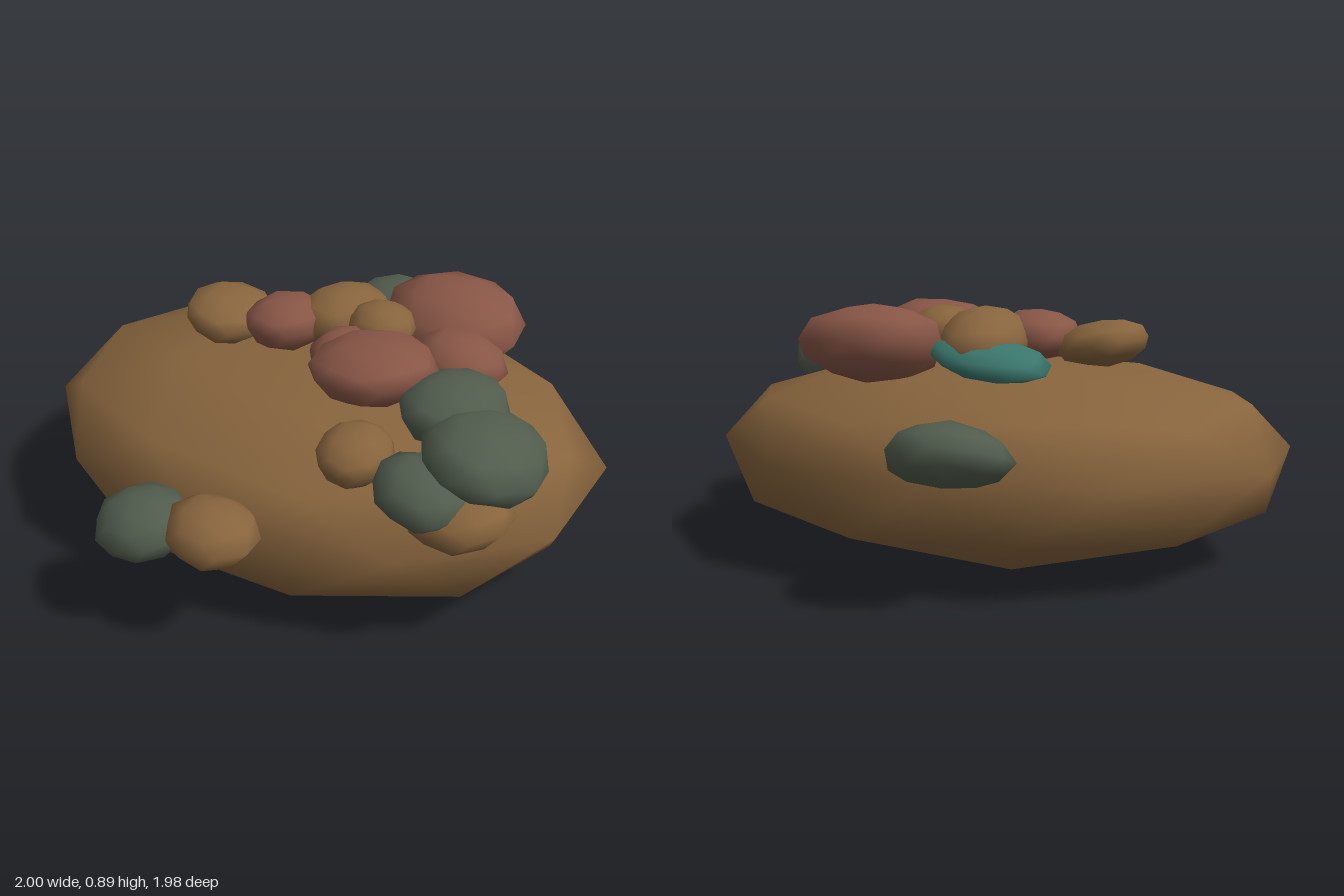
import * as THREE from 'three';
import { mergeVertices } from 'three/addons/utils/BufferGeometryUtils.js';

const mat = (name, color) => {
  const m = new THREE.MeshStandardMaterial({ color });
  m.name = name;
  return m;
};

// Coarse sphere standing on one corner, reshaped by a rule that moves each corner
function rockGeometry(moveCorner) {
  let g = new THREE.IcosahedronGeometry(1, 1);
  g.deleteAttribute('normal');
  g.deleteAttribute('uv');
  g = mergeVertices(g, 1e-3);
  g.rotateZ(-Math.atan(2 / (1 + Math.sqrt(5))));
  const p = g.attributes.position;
  const v = new THREE.Vector3();
  for (let i = 0; i < p.count; i++) {
    moveCorner(v.fromBufferAttribute(p, i), i);
    p.setXYZ(i, v.x, v.y, v.z);
  }
  g.computeVertexNormals();
  return g;
}

// Boulder: flattened, with a fuller belly, a raised rim and a lifted front underside
function shapeBoulder(v) {
  const h = v.y;
  const belly = h < -0.3 && h > -0.7;
  v.x *= belly ? 1.065 : 1.05;
  v.z *= belly ? 0.84 : 0.785;
  v.y = 0.355 + 0.35 * h + 0.035 * Math.max(0, 1 - (h - 0.25) ** 2 / 0.4);
  if (h < -0.7) v.y += 0.07 * v.z;
}

// Small stones: gently uneven corners
const shapeStone = (seed) => (v, i) => v.multiplyScalar(1.04 + 0.07 * Math.sin(i * 12.9 + seed * 7.3));

export function createModel() {
  const model = new THREE.Group();
  model.name = 'rockPile';
  const brown = mat('brown stone', 0x87643d);
  const green = mat('grey green stone', 0x515c4d);
  const red = mat('red stone', 0x885646);
  const teal = mat('teal stone', 0x3a766c);

  const boulder = new THREE.Mesh(rockGeometry(shapeBoulder), brown);
  boulder.name = 'boulder';
  model.add(boulder);

  // name, material, centre, radii, tilt about x and z
  const stones = [
    ['backStone', green, [-0.115, 0.5, -0.825], [0.195, 0.098, 0.165], 0.35, 0],
    ['frontGreenStone', green, [-0.17, 0.4, 0.835], [0.16, 0.1, 0.15], 0.15, 0.15],
    ['frontBrownStone', brown, [0.075, 0.43, 0.81], [0.155, 0.095, 0.14], 0, 0],
    ['leftBrownStone', brown, [-0.375, 0.755, 0.02], [0.155, 0.08, 0.17], 0, -0.15],
    ['smallRedStone', red, [-0.14, 0.775, 0.01], [0.14, 0.09, 0.15], 0, 0],
    ['tealStone', teal, [-0.06, 0.72, -0.3], [0.2, 0.055, 0.1], -0.4, 0.15],
    ['upperBrownStone', brown, [0.01, 0.77, -0.17], [0.15, 0.105, 0.2], -0.1, 0],
    ['smallBrownStone', brown, [0.19, 0.795, -0.1], [0.12, 0.08, 0.12], 0, 0],
    ['largeRedStone', red, [0.36, 0.765, -0.32], [0.25, 0.13, 0.215], 0.15, 0],
    ['sideRedStone', red, [0.49, 0.73, -0.08], [0.16, 0.1, 0.14], 0, -0.1],
    ['middleRedStone', red, [0.29, 0.775, 0.175], [0.21, 0.1, 0.2], 0, 0.05],
    ['redLump', red, [0.14, 0.76, 0.1], [0.1, 0.085, 0.12], 0, 0],
    ['upperGreenStone', green, [0.61, 0.725, 0.18], [0.17, 0.1, 0.2], 0, -0.1],
    ['largeGreenStone', green, [0.775, 0.665, 0.305], [0.195, 0.12, 0.245], -0.15, -0.2],
    ['lowerGreenStone', green, [0.655, 0.605, 0.52], [0.155, 0.09, 0.135], 0.1, -0.15],
    ['lowerBrownStone', brown, [0.755, 0.54, 0.485], [0.175, 0.085, 0.155], 0.1, 0.1],
    ['edgeBrownStone', brown, [0.4, 0.64, 0.485], [0.12, 0.085, 0.13], 0.15, -0.1],
  ];
  stones.forEach(([name, material, centre, radii, tiltX, tiltZ], i) => {
    const stone = new THREE.Mesh(rockGeometry(shapeStone(i + 1)), material);
    stone.name = name;
    stone.position.set(...centre);
    stone.scale.set(...radii);
    stone.rotation.set(tiltX, 0, tiltZ);
    model.add(stone);
  });
  return model;
}
